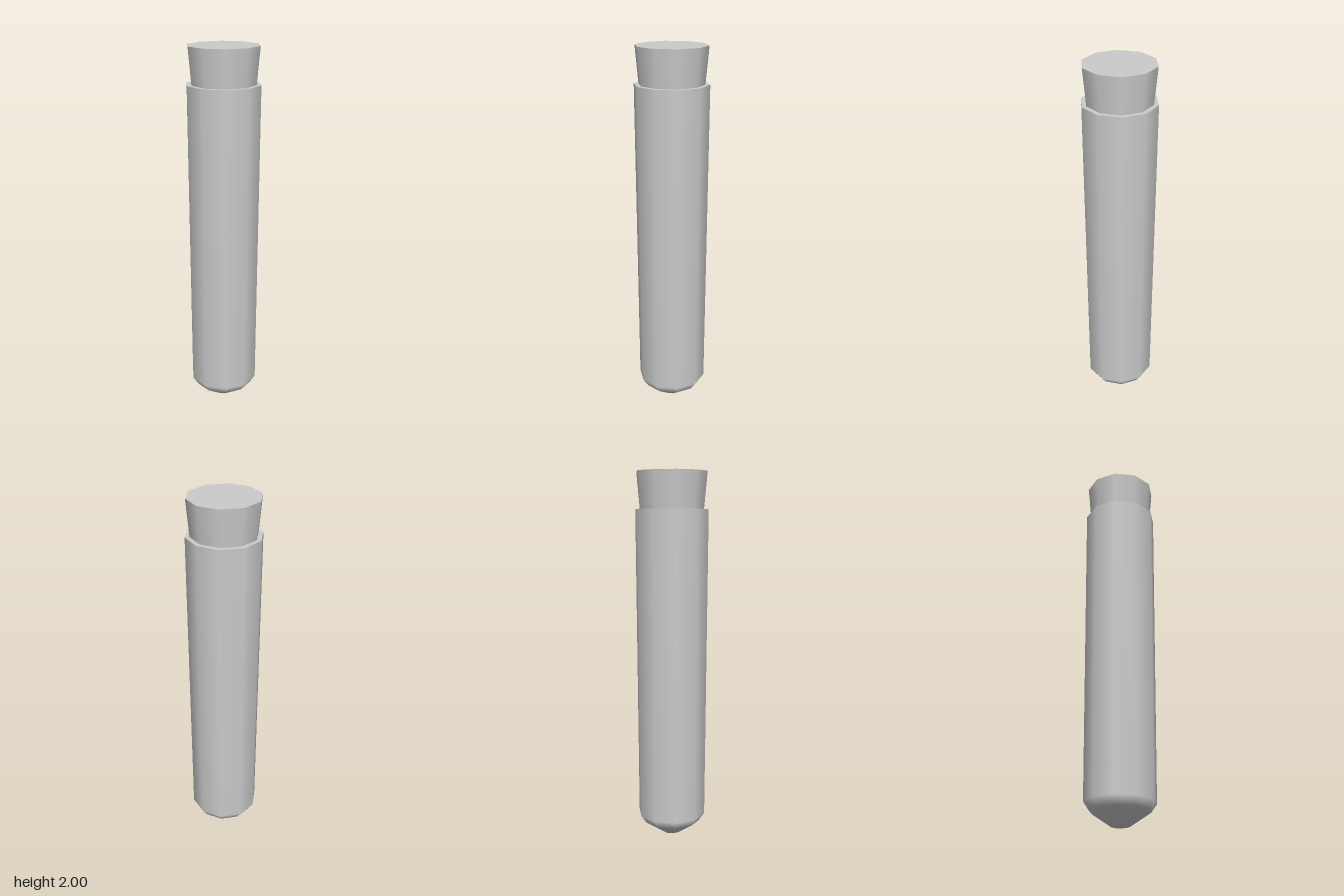
import * as THREE from 'three';

const SIDES = 10;

export function createModel() {
  const group = new THREE.Group();
  const material = new THREE.MeshStandardMaterial({ color: 0xcccccc });

  // Revolve a [radius, height] profile, with a corner of the decagon on the x axis
  const turn = (name, profile) => {
    const points = profile.map(([r, y]) => new THREE.Vector2(r, y));
    const mesh = new THREE.Mesh(new THREE.LatheGeometry(points, SIDES, Math.PI / 2), material);
    mesh.name = name;
    group.add(mesh);
  };

  // Slightly tapered tube with a rounded, blunt tip
  turn('tubeBody', [[0, 0], [0.05, 0.003], [0.157, 0.075], [0.187, 0.12], [0.198, 1.805]]);
  // Flat mouth of the tube; separate from the wall so its edge stays sharp
  turn('tubeRim', [[0.198, 1.805], [0.165, 1.805]]);
  // Stopper flaring upwards, seated a little way into the mouth
  turn('stopperSide', [[0.171, 1.78], [0.191, 2]]);
  turn('stopperTop', [[0.191, 2], [0, 2]]);

  return group;
}
